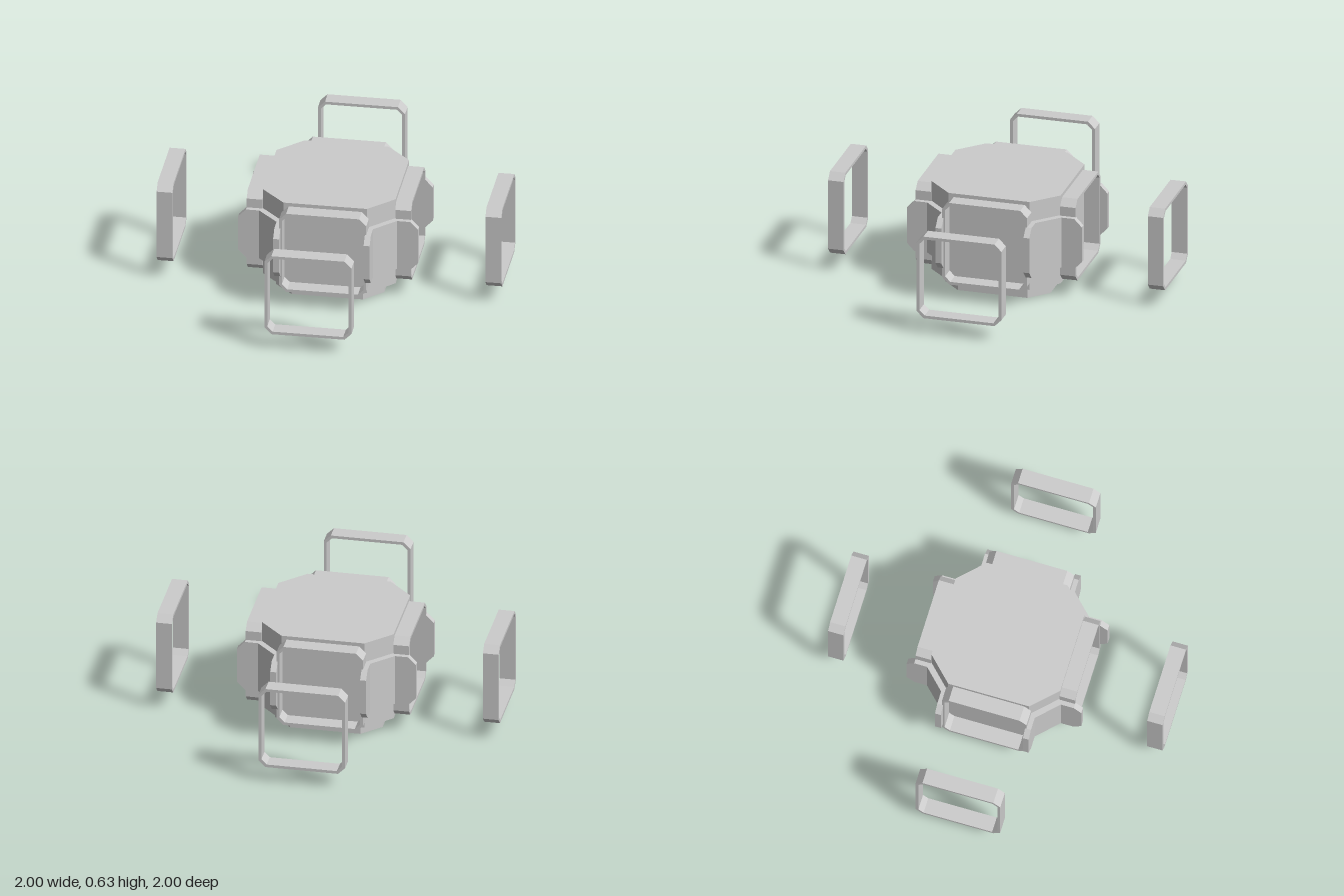
import * as THREE from 'three';

const material = new THREE.MeshStandardMaterial({ color: 0xcccccc, flatShading: true });
const MID = 0.352; // height of the frames' and corner guards' centre line

function addMesh(parent, name, geometry) {
  const mesh = new THREE.Mesh(geometry, material);
  mesh.name = name;
  parent.add(mesh);
  return mesh;
}

// Square outline with cut corners: r = half width, e = half length of the straight side
function cutSquare(r, e) {
  return [[r, -e], [r, e], [e, r], [-e, r], [-r, e], [-r, -e], [-e, -r], [e, -r]]
    .map(([x, y]) => new THREE.Vector2(x, y));
}

function slab(r, e, y0, y1) {
  const geometry = new THREE.ExtrudeGeometry(new THREE.Shape(cutSquare(r, e)), { depth: y1 - y0, bevelEnabled: false });
  return geometry.rotateX(-Math.PI / 2).translate(0, y0, 0);
}

// Thin open frame facing +z
function frameGeometry() {
  const shape = new THREE.Shape(cutSquare(0.253, 0.212));
  shape.holes.push(new THREE.Path(cutSquare(0.236, 0.205).reverse()));
  return new THREE.ExtrudeGeometry(shape, { depth: 0.092, bevelEnabled: false });
}

// Bent plate around a corner: stations of outer (x, z), inner (x, z) and half height
function guardGeometry() {
  const half = [
    [0.28, 0.522, 0.245, 0.522, 0.108],
    [0.28, 0.477, 0.245, 0.477, 0.155],
    [0.28, 0.40, 0.245, 0.386, 0.155],
  ];
  const mirrored = half.map(([a, b, c, d, h]) => [b, a, d, c, h]).reverse();
  const stations = [...half, ...mirrored];
  const positions = [];
  const index = [];
  for (const [ox, oz, ix, iz, h] of stations) {
    positions.push(ox, MID - h, oz, ox, MID + h, oz, ix, MID + h, iz, ix, MID - h, iz);
  }
  for (let s = 0; s < stations.length - 1; s++) {
    for (let k = 0; k < 4; k++) {
      const a = s * 4 + k, b = s * 4 + (k + 1) % 4;
      index.push(a, a + 4, b, b, a + 4, b + 4);
    }
  }
  const last = (stations.length - 1) * 4;
  index.push(0, 1, 2, 0, 2, 3, last, last + 2, last + 1, last, last + 3, last + 2);
  const geometry = new THREE.BufferGeometry();
  geometry.setAttribute('position', new THREE.Float32BufferAttribute(positions, 3));
  geometry.setIndex(index);
  const flat = geometry.toNonIndexed();
  flat.computeVertexNormals();
  return flat;
}

export function createModel() {
  const model = new THREE.Group();
  model.name = 'octagonalHub';

  // Central body on a smaller foot
  addMesh(model, 'body', slab(0.385, 0.242, 0.082, 0.627));
  addMesh(model, 'base', slab(0.314, 0.207, 0, 0.082));

  // Each quarter turn: port frame, detached frame and corner guard
  const frame = frameGeometry();
  const guard = guardGeometry();
  for (let i = 0; i < 4; i++) {
    const side = new THREE.Group();
    side.name = `side${i + 1}`;
    side.rotation.y = i * Math.PI / 2;
    addMesh(side, 'portFrame', frame).position.set(0, MID, 0.385);
    addMesh(side, 'detachedFrame', frame).position.set(0, MID, 0.908);
    addMesh(side, 'cornerGuard', guard);
    model.add(side);
  }
  return model;
}
